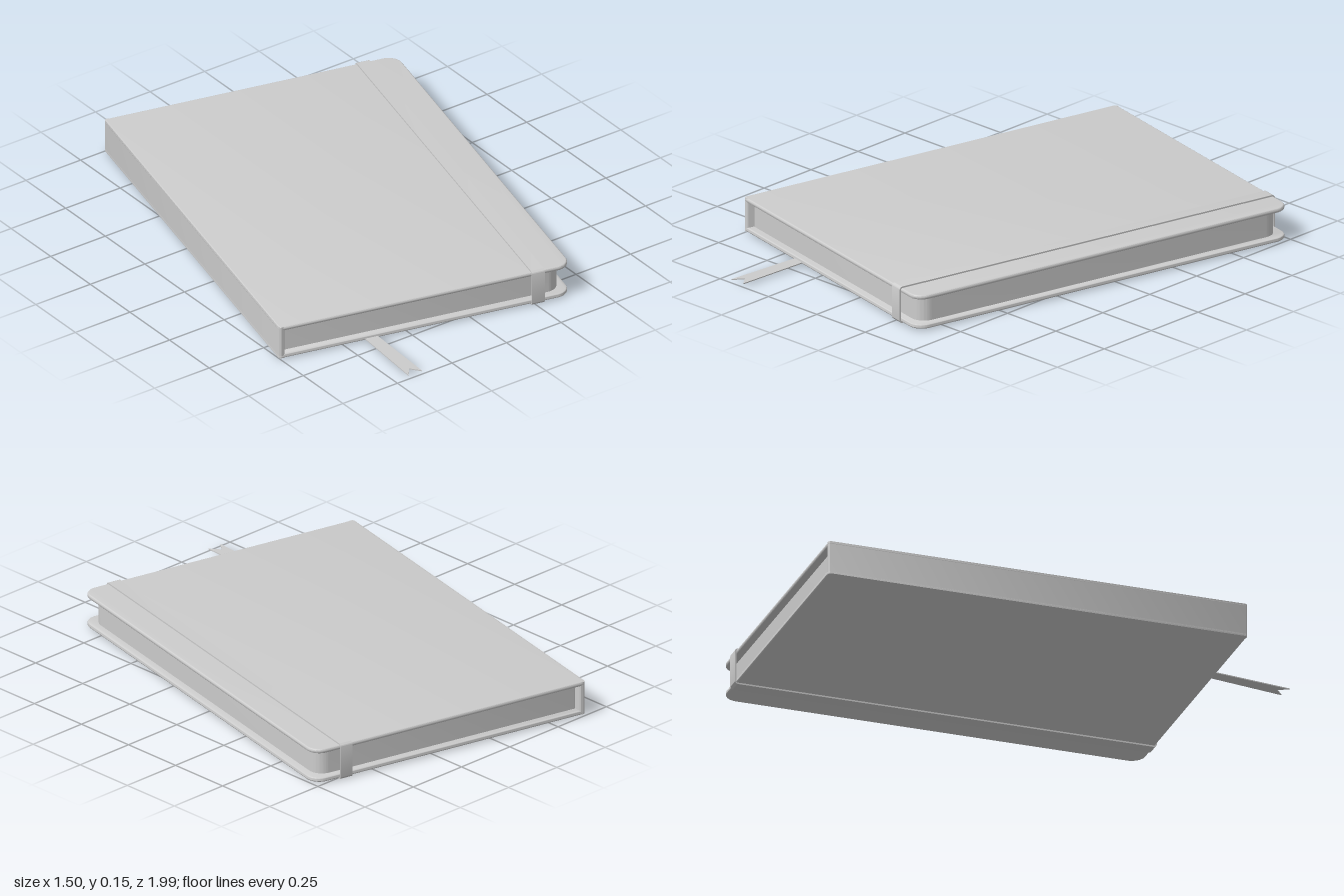
import * as THREE from 'three';
import { toCreasedNormals } from 'three/addons/utils/BufferGeometryUtils.js';

const W = 1.18, L = 1.65;          // cover width and length
const coverT = 0.017;              // cover thickness
const bottomY = 0.006, topY = 0.14;

// Rectangle with its own radius on the spine side (left) and fore edge (right)
function roundedRect(x0, y0, x1, y1, rl, rr, shape = new THREE.Shape()) {
  shape.moveTo(x0 + rl, y0);
  shape.lineTo(x1 - rr, y0);
  shape.absarc(x1 - rr, y0 + rr, rr, -Math.PI / 2, 0, false);
  shape.lineTo(x1, y1 - rr);
  shape.absarc(x1 - rr, y1 - rr, rr, 0, Math.PI / 2, false);
  shape.lineTo(x0 + rl, y1);
  shape.absarc(x0 + rl, y1 - rl, rl, Math.PI / 2, Math.PI, false);
  shape.lineTo(x0, y0 + rl);
  shape.absarc(x0 + rl, y0 + rl, rl, Math.PI, Math.PI * 1.5, false);
  return shape;
}

// Horizontal slab extruded upward from y, with an optional softened rim
function slab(shape, y, height, bevel = 0) {
  const geo = new THREE.ExtrudeGeometry(shape, {
    depth: height - 2 * bevel,
    bevelEnabled: bevel > 0,
    bevelThickness: bevel,
    bevelSize: bevel,
    bevelOffset: -bevel,
    bevelSegments: 4,
    curveSegments: 10,
  });
  geo.rotateX(-Math.PI / 2).translate(0, y + bevel, 0);
  return toCreasedNormals(geo, 0.7);
}

export function createModel() {
  const grey = new THREE.MeshStandardMaterial({ color: 0xcccccc });
  grey.name = 'lightGrey';
  const model = new THREE.Group();
  model.name = 'notebook';

  const book = new THREE.Group();
  book.name = 'book';
  book.position.set(0, 0, -0.065);
  book.rotation.y = -0.223;
  model.add(book);

  const add = (parent, name, geo) => {
    const mesh = new THREE.Mesh(geo, grey);
    mesh.name = name;
    parent.add(mesh);
  };

  // Two boards
  const board = roundedRect(-W / 2, -L / 2, W / 2, L / 2, 0.012, 0.055);
  add(book, 'backCover', slab(board, bottomY, coverT, 0.006));
  add(book, 'frontCover', slab(board, topY - coverT, coverT, 0.006));

  // Spine joining the boards
  const spine = roundedRect(-W / 2, -L / 2, -W / 2 + 0.026, L / 2, 0.012, 0.012);
  add(book, 'spine', slab(spine, bottomY + 0.001, topY - bottomY - 0.002));

  // Page block set in from the cover edges
  const pages = roundedRect(-W / 2 + 0.02, -L / 2 + 0.03, W / 2 - 0.03, L / 2 - 0.03, 0.012, 0.055);
  add(book, 'pages', slab(pages, bottomY + coverT - 0.003, topY - bottomY - 2 * coverT + 0.006));

  // Elastic band: a closed loop around the book
  const half = L / 2, t = 0.006, bandW = 0.052;
  const loop = roundedRect(-half - t, 0, half + t, topY + t, 0.014, 0.014);
  loop.holes.push(roundedRect(-half, t, half, topY, 0.008, 0.008, new THREE.Path()));
  const band = new THREE.ExtrudeGeometry(loop, { depth: bandW, bevelEnabled: false, curveSegments: 8 });
  band.rotateY(Math.PI / 2).translate(0.453 - bandW / 2, 0, 0);
  add(book, 'elasticBand', toCreasedNormals(band, 0.7));

  // Ribbon bookmark with a forked end
  const ribbon = new THREE.Shape([
    [-0.412, -0.6], [-0.445, -0.995], [-0.415, -0.955], [-0.385, -0.995], [-0.365, -0.6],
  ].map(([x, y]) => new THREE.Vector2(x, y)));
  add(model, 'ribbonBookmark', slab(ribbon, 0.009, 0.004));

  return model;
}
